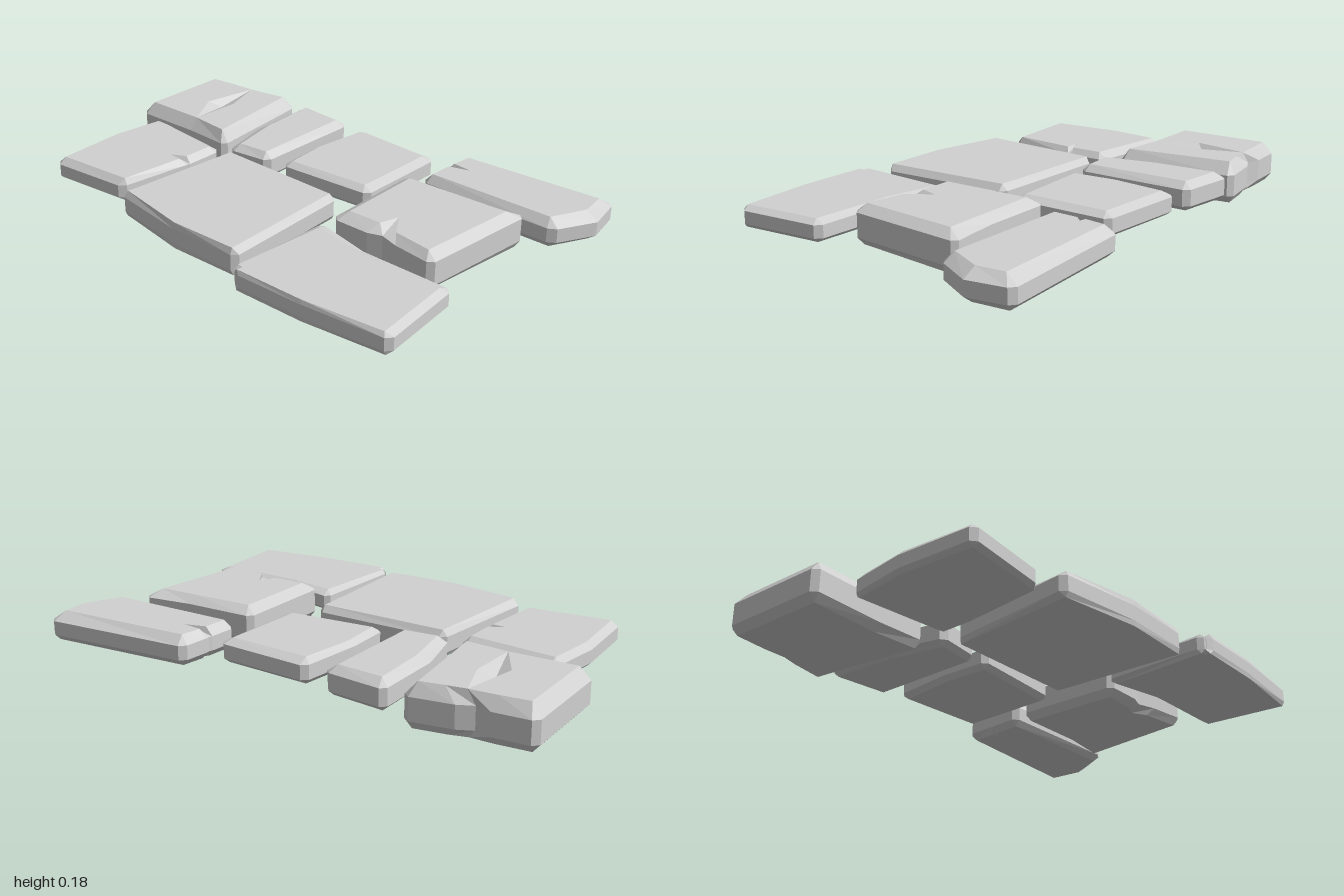
import * as THREE from 'three';

const CORNER = 0.022; // length of the cut on each sharp corner

// Flat-faced bevelled slab. Each outline point is [x, z, topX, topZ], clockwise from above.
// y = [bottom, lower edge, upper edge, top]; dent = optional chipped crease in the top.
function slab(name, material, y, pts, dent) {
  const pos = [];
  const n = pts.length;
  const tri = (a, b, c) => pos.push(...a, ...b, ...c);

  // Fill a roughly level polygon, facing up or down
  const cap = (poly, up) => {
    const flat = poly.map(p => new THREE.Vector2(p[0], p[2]));
    for (const [i, j, k] of THREE.ShapeUtils.triangulateShape(flat, [])) {
      const [a, b, c] = [poly[i], poly[j], poly[k]];
      const ny = (b[2] - a[2]) * (c[0] - a[0]) - (b[0] - a[0]) * (c[2] - a[2]);
      if ((ny > 0) === up) tri(a, b, c); else tri(a, c, b);
    }
  };

  // Outer rim, with the sharp corners cut
  const rim = [];
  pts.forEach((p, i) => {
    const here = new THREE.Vector2(p[0], p[1]);
    const toward = q => new THREE.Vector2(q[0], q[1]).sub(here).normalize();
    const back = toward(pts[(i + n - 1) % n]);
    const next = toward(pts[(i + 1) % n]);
    if (back.dot(next) > -0.6 && back.cross(next) < 0) {
      for (const d of [back, next]) rim.push([p[0] + d.x * CORNER, p[1] + d.y * CORNER, i]);
    } else rim.push([p[0], p[1], i]);
  });

  // The underside is inset less than the top, so cracks stay shallow there
  const top = pts.map(p => [p[2], y[3], p[3]]);
  const bottom = pts.map(([x, z, tx, tz]) => {
    const t = Math.min(0.7, 0.035 / Math.hypot(tx - x, tz - z));
    return [x + (tx - x) * t, y[0], z + (tz - z) * t];
  });
  const low = rim.map(r => [r[0], y[1], r[1]]);
  const high = rim.map(r => [r[0], y[2], r[1]]);

  // Lower bevel, side wall and upper bevel
  rim.forEach((r, i) => {
    const j = (i + 1) % rim.length;
    const a = r[2], b = rim[j][2];
    tri(low[i], high[i], high[j]);
    tri(low[i], high[j], low[j]);
    tri(high[i], top[b], high[j]);
    tri(low[i], low[j], bottom[b]);
    if (a !== b) {
      tri(high[i], top[a], top[b]);
      tri(low[i], bottom[b], bottom[a]);
    }
  });

  cap(bottom, false);
  if (dent) {
    const L = top[dent.left], R = top[dent.right];
    const { ridge, valley, lip } = dent;
    cap([...top.slice(dent.left), ...top.slice(0, dent.right + 1), ridge], true);
    cap([...top.slice(dent.right, dent.left + 1), lip], true);
    for (const [a, b] of [[L, ridge], [ridge, R], [L, lip], [lip, R]]) cap([a, b, valley], true);
  } else cap(top, true);

  const geometry = new THREE.BufferGeometry();
  geometry.setAttribute('position', new THREE.Float32BufferAttribute(pos, 3));
  geometry.computeVertexNormals();
  const mesh = new THREE.Mesh(geometry, material);
  mesh.name = name;
  return mesh;
}

export function createModel() {
  const group = new THREE.Group();
  group.name = 'stonePath';
  const stone = new THREE.MeshStandardMaterial({ color: 0xd1d1d1 });
  stone.name = 'light grey stone';
  const add = (name, y, pts, dent) => group.add(slab(name, stone, y, pts, dent));

  // Back row; the left stone has a crack in its front edge
  add('backLeftStone', [0.05, 0.065, 0.115, 0.14], [
    [-0.485, -0.87, -0.455, -0.845], [-0.17, -0.885, -0.17, -0.862], [0.075, -0.85, 0.035, -0.835],
    [0.025, -0.462, -0.01, -0.487], [-0.14, -0.463, -0.135, -0.488], [-0.155, -0.467, -0.165, -0.55],
    [-0.175, -0.47, -0.17, -0.492], [-0.455, -0.51, -0.43, -0.52],
  ]);
  // Thick stone with a chipped crease across the top and a notch in its side
  add('backRightStone', [0, 0.03, 0.115, 0.163], [
    [0.095, -1, 0.13, -0.96], [0.535, -1, 0.50, -0.96], [0.542, -0.84, 0.51, -0.85],
    [0.523, -0.78, 0.515, -0.745], [0.55, -0.72, 0.525, -0.67], [0.575, -0.54, 0.54, -0.58],
    [0.08, -0.49, 0.11, -0.53], [0.095, -0.70, 0.13, -0.70],
  ], {
    left: 7, right: 3,
    ridge: [0.29, 0.163, -0.79], valley: [0.33, 0.135, -0.75], lip: [0.34, 0.163, -0.69],
  });

  // Middle stones
  add('smallStone', [0.04, 0.06, 0.125, 0.15], [
    [0.045, -0.425, 0.08, -0.395], [0.28, -0.48, 0.29, -0.435], [0.585, -0.48, 0.54, -0.445],
    [0.55, -0.222, 0.52, -0.26], [0.065, -0.235, 0.09, -0.265],
  ]);
  add('middleRightStone', [0.05, 0.07, 0.125, 0.143], [
    [0.075, -0.165, 0.105, -0.135], [0.28, -0.17, 0.28, -0.145], [0.545, -0.14, 0.50, -0.115],
    [0.51, 0.258, 0.475, 0.22], [0.095, 0.248, 0.125, 0.21],
  ]);
  add('middleLeftStone', [0.04, 0.06, 0.12, 0.145], [
    [-0.51, -0.45, -0.50, -0.42], [0.02, -0.39, 0, -0.375],
    [0, 0.18, -0.022, 0.16], [-0.567, 0.197, -0.557, 0.175], [-0.565, -0.11, -0.56, -0.11],
  ]);

  // Front row; the left stone has a chipped back corner
  add('frontLeftStone', [0.053, 0.07, 0.118, 0.134], [
    [-0.645, 0.265, -0.638, 0.275], [-0.63, 0.255, -0.615, 0.28], [-0.625, 0.24, -0.61, 0.255],
    [-0.185, 0.26, -0.235, 0.29], [-0.245, 0.50, -0.275, 0.49], [-0.255, 0.877, -0.29, 0.85],
    [-0.62, 0.902, -0.61, 0.872], [-0.645, 0.56, -0.64, 0.56],
  ]);
  // Thick stone with a notch in its side
  add('frontMiddleStone', [0.03, 0.06, 0.15, 0.178], [
    [-0.175, 0.30, -0.13, 0.345], [0.27, 0.30, 0.225, 0.345], [0.268, 0.60, 0.229, 0.60],
    [0.29, 0.812, 0.232, 0.765], [-0.21, 0.757, -0.175, 0.72], [-0.185, 0.59, -0.15, 0.565],
    [-0.16, 0.515, -0.055, 0.505], [-0.178, 0.46, -0.13, 0.48],
  ]);
  // Narrow stone with a crack in its back edge
  add('frontRightStone', [0.04, 0.065, 0.12, 0.152], [
    [0.33, 0.328, 0.355, 0.36], [0.455, 0.336, 0.453, 0.366], [0.47, 0.341, 0.475, 0.45],
    [0.49, 0.339, 0.487, 0.368], [0.606, 0.348, 0.57, 0.38], [0.643, 0.975, 0.59, 0.94],
    [0.475, 1, 0.48, 0.95], [0.313, 0.91, 0.345, 0.88],
  ]);
  return group;
}
